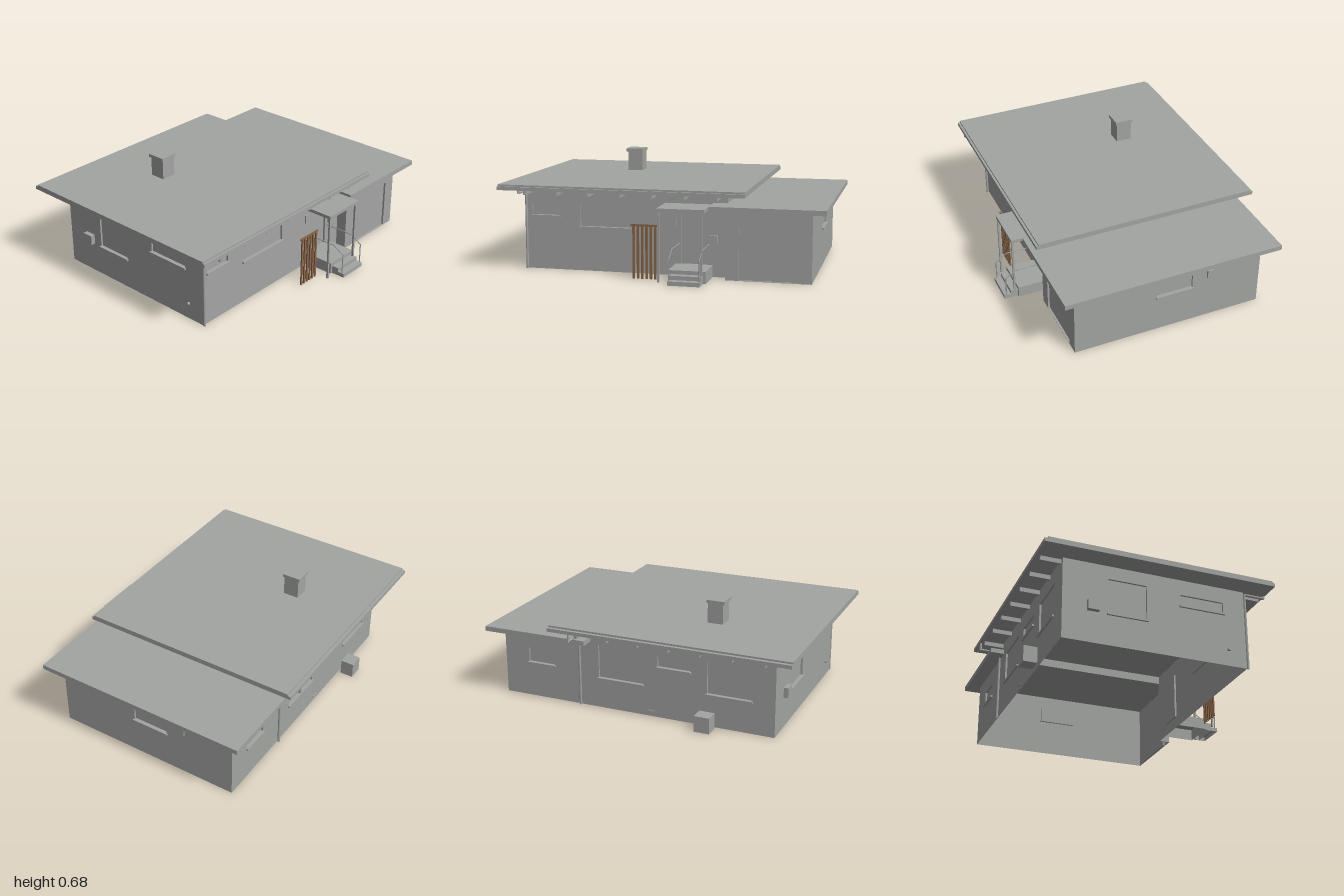
import * as THREE from 'three';

export function createModel() {
  const house = new THREE.Group();
  house.name = 'house';
  const grey = new THREE.MeshStandardMaterial({ color: 0xa3a5a3, side: THREE.DoubleSide });
  grey.name = 'plain grey';
  const wood = new THREE.MeshStandardMaterial({ color: 0x8a674a });
  wood.name = 'brown wood';

  const add = (name, geometry, material = grey, parent = house) => {
    const mesh = new THREE.Mesh(geometry, material);
    mesh.name = name;
    parent.add(mesh);
    return mesh;
  };

  // Box given by its limits on each axis
  const box = (name, x0, x1, y0, y1, z0, z1, material, parent) => {
    const mesh = add(name, new THREE.BoxGeometry(x1 - x0, y1 - y0, z1 - z0), material, parent);
    mesh.position.set((x0 + x1) / 2, (y0 + y1) / 2, (z0 + z1) / 2);
    return mesh;
  };

  // Leaves sides of a box open: 0 +x, 1 -x, 2 +y, 3 -y, 4 +z, 5 -z
  const open = (mesh, ...sides) => {
    const index = Array.from(mesh.geometry.index.array);
    mesh.geometry.setIndex(index.filter((_, i) => !sides.includes(Math.floor(i / 6))));
    mesh.geometry.clearGroups();
  };

  // Pipe along straight runs
  const pipe = (name, points, radius, sides) => {
    const v = points.map((p) => new THREE.Vector3(...p));
    const group = new THREE.Group();
    group.name = name;
    house.add(group);
    for (let i = 1; i < v.length; i++) {
      const run = new THREE.LineCurve3(v[i - 1], v[i]);
      add('pipeRun', new THREE.TubeGeometry(run, 1, radius, sides), grey, group);
    }
  };

  // Thin wall with recessed openings; u runs to the right when seen from outside
  const wall = (name, u0, u1, height, openings, turn, x, z) => {
    const group = new THREE.Group();
    group.name = name;
    const rect = (target, a, b, c, d) => target.moveTo(a, c).lineTo(b, c).lineTo(b, d).lineTo(a, d).closePath();
    const shape = rect(new THREE.Shape(), u0, u1, 0, height);
    for (const [a, b, c, d, kind] of openings) {
      shape.holes.push(rect(new THREE.Path(), a, b, c, d));
      open(box(kind || 'windowRecess', a, b, c, d, -0.012, 0, grey, group), 4);
      if (!kind) box('windowSill', a - 0.008, b + 0.008, c - 0.012, c, -0.012, 0.012, grey, group);
    }
    add('wallPanel', new THREE.ShapeGeometry(shape), grey, group);
    group.rotation.y = turn;
    group.position.set(x, 0, z);
    house.add(group);
  };

  // Outer walls
  wall('frontWall', -0.865, 0.4, 0.503, [
    [-0.826, -0.65, 0.338, 0.402],
    [-0.516, -0.163, 0.276, 0.418],
    [0.12, 0.27, 0.072, 0.374, 'frontDoor'],
  ], 0, 0, 0.503);
  wall('garageFrontWall', 0.4, 0.913, 0.42, [[0.481, 0.831, 0.003, 0.319, 'garageDoor']], 0, 0, 0.573);
  wall('rightWall', -0.573, 0.637, 0.42, [[-0.048, 0.183, 0.245, 0.333]], Math.PI / 2, 0.913, 0);
  wall('leftWall', -0.637, 0.503, 0.503, [
    [-0.36, -0.124, 0.2, 0.42],
    [0.09, 0.364, 0.335, 0.405],
  ], -Math.PI / 2, -0.865, 0);
  wall('backWall', -0.4, 0.865, 0.503, [
    [-0.263, 0.03, 0.195, 0.4],
    [0.128, 0.337, 0.325, 0.397],
    [0.445, 0.72, 0.205, 0.41],
  ], Math.PI, 0, -0.637);
  wall('garageBackWall', -0.913, -0.4, 0.42, [[-0.747, -0.57, 0.225, 0.315]], Math.PI, 0, -0.637);
  box('garageReturnWall', 0.4, 0.406, 0, 0.42, 0.503, 0.573);
  box('upperSideWall', 0.394, 0.4, 0.42, 0.503, -0.637, 0.503);
  box('ceiling', -0.865, 0.394, 0.472, 0.478, -0.637, 0.503);

  // Roofs, with gutters along the main eaves
  box('mainRoof', -1, 0.527, 0.503, 0.536, -0.768, 0.634);
  box('frontGutter', -1, 0.527, 0.503, 0.525, 0.634, 0.648);
  box('backGutter', -1, 0.527, 0.503, 0.525, -0.789, -0.768);
  box('garageRoof', 0.4, 1, 0.42, 0.45, -0.725, 0.66);
  box('garageFrontEave', 0.315, 0.4, 0.42, 0.45, 0.503, 0.66);
  box('garageBackEave', 0.315, 0.4, 0.42, 0.45, -0.725, -0.637);

  // Rafter ends under the front and back eaves
  for (let i = 0; i < 7; i++) {
    const x = -0.832 + i * 0.197;
    box('frontRafter', x - 0.009, x + 0.009, 0.475, 0.503, 0.503, 0.622);
    box('backRafter', x - 0.009, x + 0.009, 0.475, 0.503, -0.763, -0.637);
  }

  // Chimney
  box('chimney', -0.427, -0.329, 0.536, 0.662, -0.347, -0.246);
  box('chimneyCap', -0.438, -0.324, 0.662, 0.682, -0.356, -0.238);

  // Downpipes
  pipe('frontDownpipe', [[-0.863, 0.51, 0.641], [-0.863, 0.488, 0.641], [-0.863, 0.488, 0.512], [-0.863, 0, 0.512]], 0.008, 8);
  pipe('backDownpipe', [[0.388, 0.51, -0.777], [0.388, 0.458, -0.777], [0.388, 0.458, -0.646], [0.388, 0, -0.646]], 0.008, 8);

  // Porch with canopy, posts, hollow steps and handrails
  box('canopy', 0.02, 0.305, 0.42, 0.44, 0.503, 0.728);
  for (const x of [0.03, 0.288]) box('canopyPost', x - 0.006, x + 0.006, 0, 0.42, 0.712, 0.724);
  open(box('landing', 0.085, 0.31, 0, 0.073, 0.503, 0.7), 3, 5);
  open(box('upperStep', 0.1, 0.293, 0, 0.05, 0.7, 0.745), 3, 5);
  open(box('lowerStep', 0.1, 0.293, 0, 0.025, 0.745, 0.788), 3, 5);
  for (const x of [0.106, 0.288]) {
    pipe('handrail', [[x, 0.02, 0.773], [x, 0.152, 0.773], [x, 0.197, 0.7], [x, 0.197, 0.503]], 0.004, 4);
  }

  // Slatted privacy screen
  box('screenTopRail', -0.157, 0.008, 0.316, 0.328, 0.641, 0.649, wood);
  for (let i = 0; i < 6; i++) {
    const x = -0.139 + i * 0.0264;
    box('screenSlat', x - 0.007, x + 0.007, 0, 0.316, 0.641, 0.649, wood);
  }

  // Small fittings on the walls
  box('porchPanel', 0.06, 0.09, 0.298, 0.35, 0.503, 0.511);
  box('mailbox', 0.295, 0.342, 0.21, 0.253, 0.503, 0.525);
  box('rightVent', 0.913, 0.926, 0.29, 0.345, -0.313, -0.278);
  box('leftMeterBox', -0.893, -0.865, 0.195, 0.257, -0.49, -0.42);
  box('backVent', -0.105, -0.055, 0.032, 0.038, -0.642, -0.637);
  box('backUnit', -0.5, -0.405, 0, 0.1, -0.742, -0.657);
  pipe('leftOutlet', [[-0.86, 0.103, 0.39], [-0.88, 0.103, 0.39]], 0.01, 8);
  const outletCap = add('outletCap', new THREE.CircleGeometry(0.01, 8));
  outletCap.position.set(-0.88, 0.103, 0.39);
  outletCap.rotation.y = -Math.PI / 2;

  return house;
}
